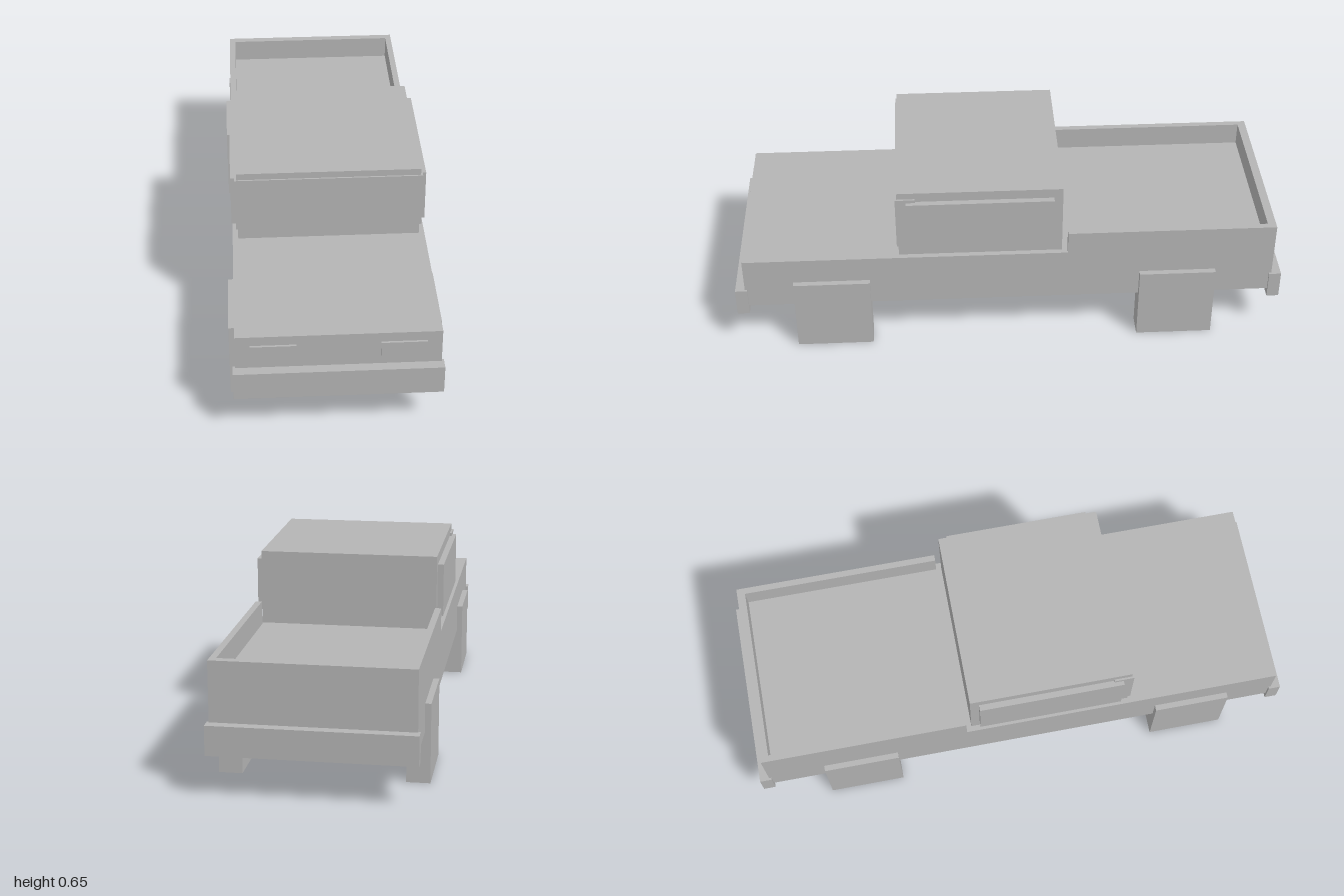
import * as THREE from 'three';

export function createModel() {
  const truck = new THREE.Group();
  truck.name = 'pickupTruck';

  const grey = new THREE.MeshStandardMaterial({ color: 0xb4b4b4, side: THREE.DoubleSide });
  grey.name = 'plain grey';

  // Box between two corners, left open underneath like a folded shell
  function shell(name, [x0, x1], [y0, y1], [z0, z1]) {
    const geo = new THREE.BoxGeometry(x1 - x0, y1 - y0, z1 - z0);
    const index = Array.from(geo.index.array);
    index.splice(18, 6); // drop the bottom face
    geo.setIndex(index);
    geo.clearGroups();
    const mesh = new THREE.Mesh(geo, grey);
    mesh.name = name;
    mesh.position.set((x0 + x1) / 2, (y0 + y1) / 2, (z0 + z1) / 2);
    truck.add(mesh);
  }

  // The same shell on the left (+x) and right (-x) side
  function pair(name, [x0, x1], y, z) {
    shell(name + 'Left', [x0, x1], y, z);
    shell(name + 'Right', [-x1, -x0], y, z);
  }

  // Main body and cab
  shell('body', [-0.343, 0.343], [0.18, 0.38], [-0.965, 0.965]);
  shell('cab', [-0.323, 0.323], [0.38, 0.651], [-0.19, 0.4]);
  shell('windscreen', [-0.33, 0.33], [0.423, 0.627], [0.335, 0.406]);
  pair('sideWindow', [0.315, 0.345], [0.423, 0.615], [-0.158, 0.368]);

  // Cargo bed walls
  pair('bedSide', [0.32, 0.343], [0.38, 0.465], [-0.965, -0.21]);
  shell('tailgate', [-0.32, 0.32], [0.38, 0.465], [-0.965, -0.935]);

  // Bumpers and headlights
  shell('frontBumper', [-0.351, 0.351], [0.15, 0.254], [0.956, 1]);
  shell('rearBumper', [-0.351, 0.351], [0.15, 0.254], [-1, -0.956]);
  pair('headlight', [0.14, 0.293], [0.29, 0.345], [0.958, 0.973]);

  // Block wheels
  pair('frontWheel', [0.282, 0.364], [0, 0.282], [0.51, 0.788]);
  pair('rearWheel', [0.282, 0.364], [0, 0.282], [-0.754, -0.475]);

  return truck;
}
